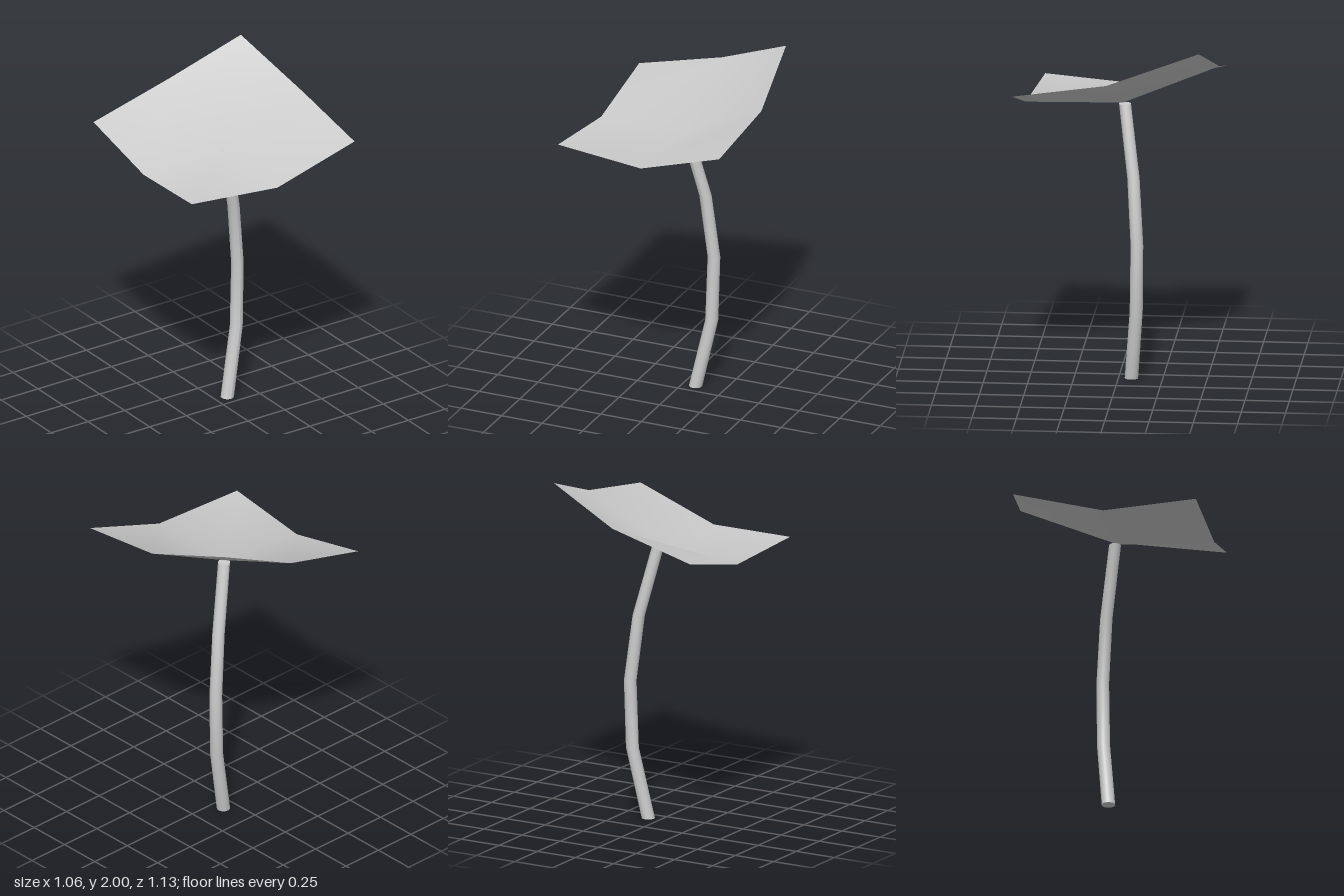
import * as THREE from 'three';

const material = new THREE.MeshStandardMaterial({ color: 0xcccccc, side: THREE.DoubleSide });

// Bent, slightly tapering stem: a cylinder whose rings slide onto a spine
function createStem() {
  const spine = [
    [0.078, 0, -0.073],
    [0.162, 0.41, -0.107],
    [0.173, 0.8, -0.112],
    [0.131, 1.18, -0.089],
    [0.036, 1.59, -0.033],
  ];
  const segments = spine.length - 1;
  const geometry = new THREE.CylinderGeometry(0.034, 0.038, 1, 16, segments);
  const position = geometry.attributes.position;
  for (let i = 0; i < position.count; i++) {
    const [x, y, z] = spine[Math.round((position.getY(i) + 0.5) * segments)];
    position.setXYZ(i, position.getX(i) + x, y, position.getZ(i) + z);
  }
  // Smooth the sides while keeping the cap normals
  const capNormals = geometry.attributes.normal.clone();
  const sideCount = 17 * spine.length;
  geometry.computeVertexNormals();
  const normal = geometry.attributes.normal;
  for (let i = sideCount; i < normal.count; i++) {
    normal.setXYZ(i, 0, Math.sign(capNormals.getY(i)), 0);
  }
  const stem = new THREE.Mesh(geometry, material);
  stem.name = 'stem';
  return stem;
}

// Curled leaf blade: a 3 x 3 sheet, rows from back to front, left column at -x
function createLeaf() {
  const points = [
    -0.495, 1.68, -0.57, 0.02, 1.815, -0.565, 0.45, 2.0, -0.485,
    -0.5, 1.56, -0.06, 0.02, 1.59, -0.02, 0.53, 1.825, 0.03,
    -0.53, 1.6, 0.465, 0.01, 1.58, 0.53, 0.51, 1.745, 0.565,
  ];
  const geometry = new THREE.BufferGeometry();
  geometry.setAttribute('position', new THREE.Float32BufferAttribute(points, 3));
  // Each quad folds along its raised diagonal
  geometry.setIndex([
    0, 3, 1, 1, 3, 4,
    1, 5, 2, 1, 4, 5,
    3, 6, 4, 4, 6, 7,
    4, 7, 5, 5, 7, 8,
  ]);
  geometry.computeVertexNormals();
  const leaf = new THREE.Mesh(geometry, material);
  leaf.name = 'leaf';
  return leaf;
}

export function createModel() {
  const model = new THREE.Group();
  model.name = 'leafOnStem';
  model.add(createStem(), createLeaf());
  return model;
}
